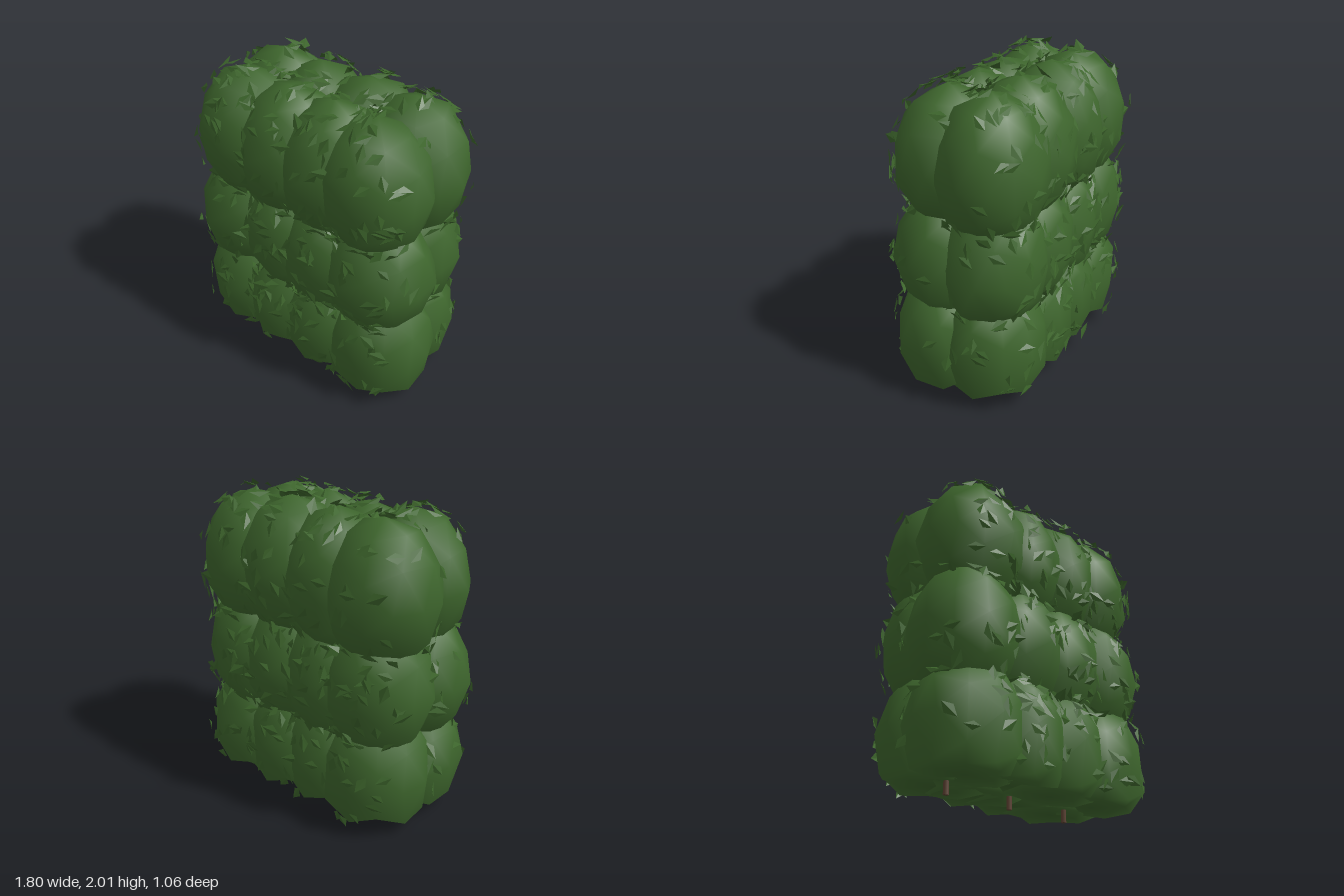
import * as THREE from 'three';
import { mergeVertices } from 'three/addons/utils/BufferGeometryUtils.js';

// Small seeded generator for the natural irregularity
function seeded(seed) {
  return () => {
    seed = (seed * 1664525 + 1013904223) >>> 0;
    return seed / 4294967296;
  };
}

const BASE_Y = 0.08;

export function createModel() {
  const hedge = new THREE.Group();
  hedge.name = 'hedge';
  const rand = seeded(71);
  const vary = (v) => (rand() * 2 - 1) * v;

  const foliage = new THREE.MeshStandardMaterial({ color: 0x3e662d });
  foliage.name = 'foliage green';
  const leafGreen = new THREE.MeshStandardMaterial({ color: 0x3c642b, side: THREE.DoubleSide, flatShading: true });
  leafGreen.name = 'leaf green';
  const bark = new THREE.MeshStandardMaterial({ color: 0x5a4030 });
  bark.name = 'bark brown';

  // Lobe layout: three rows of four columns, two deep
  const rows = [
    { y: 0.35, up: 0.4, down: 0.58, front: [-0.51, -0.18, 0.15, 0.52], back: [-0.48, -0.18, 0.15, 0.47] },
    { y: 0.9, up: 0.43, down: 0.43, front: [-0.54, -0.18, 0.15, 0.48], back: [-0.49, -0.18, 0.16, 0.47] },
    { y: 1.5, up: 0.42, down: 0.44, front: [-0.5, -0.18, 0.14, 0.44], back: [-0.5, -0.19, 0.17, 0.48] },
  ];
  const lobes = [];
  rows.forEach((row, r) => {
    for (const place of ['front', 'back']) {
      row[place].forEach((x, c) => {
        lobes.push({
          name: `foliageLobe_${r}_${c}_${place}`,
          center: new THREE.Vector3(x, row.y + vary(0.012), place === 'front' ? 0.165 : -0.14),
          rx: c === 0 || c === 3 ? 0.355 : 0.345,
          rz: 0.325,
          up: row.up + (place === 'back' ? 0.03 : 0.01),
          down: row.down,
        });
      });
    }
  });

  // Surface point of a lobe in a unit direction
  const onLobe = (l, d, grow = 0) => new THREE.Vector3(
    d.x * (l.rx + grow),
    d.y * ((d.y > 0 ? l.up : l.down) + grow),
    d.z * (l.rz + grow)
  ).add(l.center);

  // Coarse foliage lobes, cut level underneath but shaded round
  for (const l of lobes) {
    const ico = new THREE.IcosahedronGeometry(1, 1);
    ico.deleteAttribute('normal');
    ico.deleteAttribute('uv');
    const geo = mergeVertices(ico, 1e-4);
    geo.rotateY(vary(0.3));
    const pos = geo.attributes.position;
    const d = new THREE.Vector3();
    for (let i = 0; i < pos.count; i++) {
      d.fromBufferAttribute(pos, i);
      const p = onLobe(l, d, 0.008 + vary(0.012));
      pos.setXYZ(i, p.x, p.y, p.z);
    }
    geo.computeVertexNormals();
    for (let i = 0; i < pos.count; i++) pos.setY(i, Math.max(pos.getY(i), BASE_Y));
    const mesh = new THREE.Mesh(geo, foliage);
    mesh.name = l.name;
    hedge.add(mesh);
  }

  // True when a point is buried in a lobe
  const inside = (p, l) => {
    const q = p.clone().sub(l.center);
    return (q.x / l.rx) ** 2 + (q.y / (q.y > 0 ? l.up : l.down)) ** 2 + (q.z / l.rz) ** 2 < 0.97;
  };

  // Folded diamond leaves hovering just over the lobes
  const verts = [];
  const zAxis = new THREE.Vector3(0, 0, 1);
  const turn = new THREE.Quaternion();
  for (const l of lobes) {
    for (let i = 0; i < 170; i++) {
      const h = vary(1);
      const a = rand() * Math.PI * 2;
      const s = Math.sqrt(1 - h * h);
      const dir = new THREE.Vector3(s * Math.cos(a), h, s * Math.sin(a));
      const keep = rand();
      const p = onLobe(l, dir, 0.012 + rand() * 0.032);
      // The short ends of the hedge carry fewer leaves
      if (p.y < BASE_Y + 0.03 || p.y > 1.99 || keep < Math.abs(dir.x) * 0.9) continue;
      if (lobes.some((o) => o !== l && inside(p, o))) continue;
      const normal = new THREE.Vector3(
        dir.x / l.rx + vary(0.6), dir.y / (dir.y > 0 ? l.up : l.down) + vary(0.6), dir.z / l.rz + vary(0.6)
      ).normalize();
      const q = new THREE.Quaternion().setFromUnitVectors(zAxis, normal)
        .multiply(turn.setFromAxisAngle(zAxis, rand() * Math.PI * 2));
      const len = 0.045 + rand() * 0.02;
      const wid = len * 0.55;
      const [tip, left, tail, right] = [
        [0, len, 0], [-wid, -len * 0.1, -0.01], [0, -len, 0], [wid, -len * 0.1, -0.01],
      ].map((v) => new THREE.Vector3(...v).applyQuaternion(q).add(p).toArray());
      verts.push(...tip, ...left, ...tail, ...tip, ...tail, ...right);
    }
  }
  const leafGeo = new THREE.BufferGeometry();
  leafGeo.setAttribute('position', new THREE.Float32BufferAttribute(verts, 3));
  leafGeo.computeVertexNormals();
  const leaves = new THREE.Mesh(leafGeo, leafGreen);
  leaves.name = 'leaves';
  hedge.add(leaves);

  // Thin stems under the hedge
  [-0.51, -0.03, 0.44].forEach((x, i) => {
    const stem = new THREE.Mesh(new THREE.CylinderGeometry(0.014, 0.017, 0.3, 6), bark);
    stem.name = `stem_${i}`;
    stem.position.set(x, 0.15, 0.005);
    hedge.add(stem);
  });

  return hedge;
}
